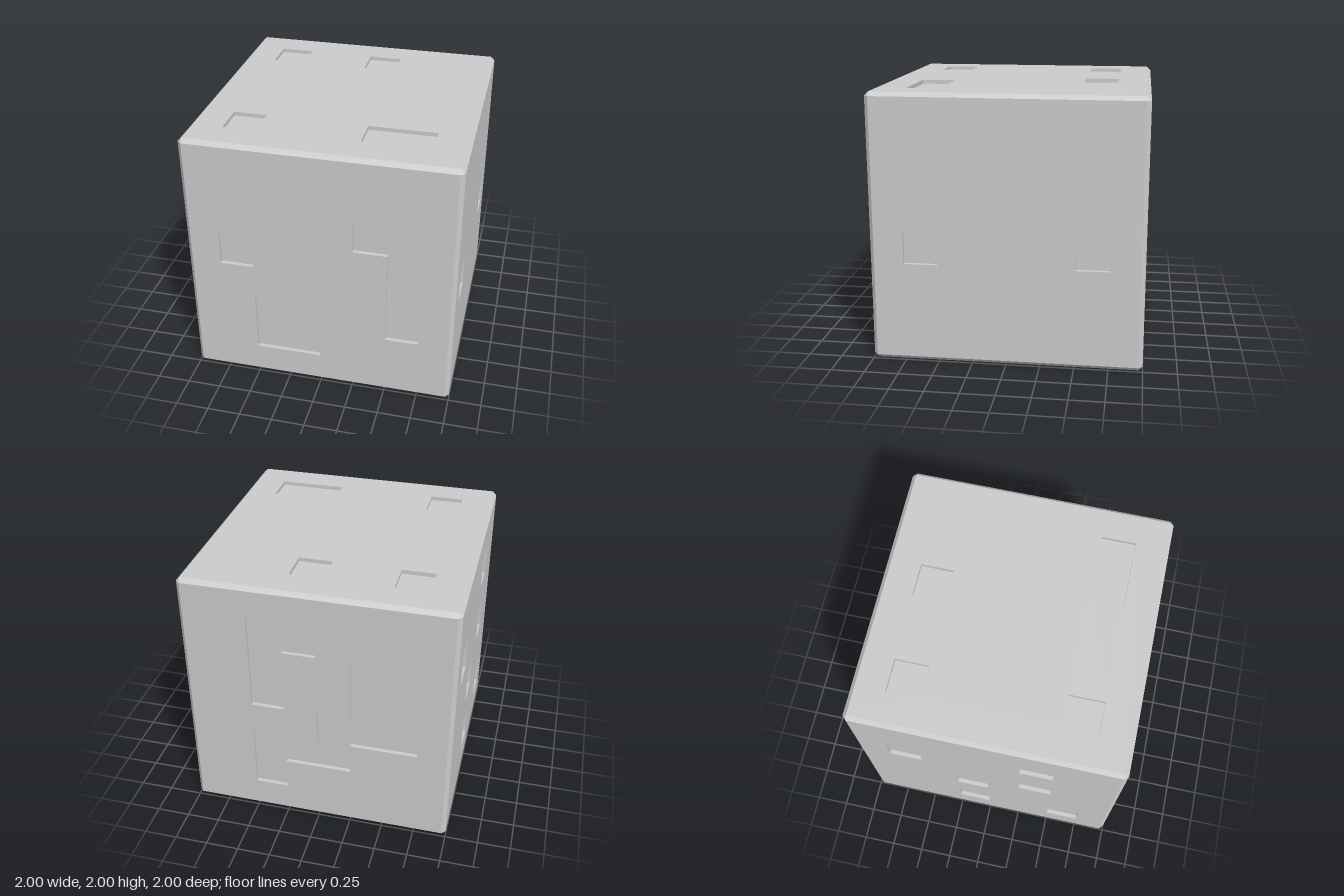
import * as THREE from 'three';
import { mergeGeometries } from 'three/addons/utils/BufferGeometryUtils.js';

const BEVEL = 0.03, DEPTH = 0.03, CELL = 0.25, INNER = 1 - BEVEL;

const material = new THREE.MeshStandardMaterial({ color: 0xcccccc, side: THREE.DoubleSide, flatShading: true });

// Outlines are counter-clockwise, in grid cells from the centre of a face
const rect = (x0, y0, x1, y1) => [[x0, y0], [x1, y0], [x1, y1], [x0, y1]];
const toPoints = (outline) => outline.map(([x, y]) => new THREE.Vector2(x * CELL, y * CELL));

function facets(positions) {
  const g = new THREE.BufferGeometry();
  g.setAttribute('position', new THREE.Float32BufferAttribute(positions, 3));
  g.computeVertexNormals();
  return g;
}

// Side walls and floor of one sunken pocket
function pocketGeometry(points) {
  const walls = [];
  points.forEach((a, i) => {
    const b = points[(i + 1) % points.length];
    walls.push(a.x, a.y, 0, b.x, b.y, 0, b.x, b.y, -DEPTH);
    walls.push(a.x, a.y, 0, b.x, b.y, -DEPTH, a.x, a.y, -DEPTH);
  });
  const floor = new THREE.ShapeGeometry(new THREE.Shape(points)).toNonIndexed();
  floor.deleteAttribute('uv');
  floor.translate(0, 0, -DEPTH);
  return mergeGeometries([facets(walls), floor]);
}

// Flat square panel with its pockets, facing +z
function makeFace(name, outlines) {
  const face = new THREE.Group();
  face.name = name;
  const shape = new THREE.Shape(toPoints(rect(-1, -1, 1, 1)).map((p) => p.multiplyScalar(INNER / CELL)));
  outlines.forEach((o) => shape.holes.push(new THREE.Path(toPoints(o))));
  const panel = new THREE.Mesh(new THREE.ShapeGeometry(shape), material);
  panel.name = 'panel';
  face.add(panel);
  outlines.forEach((o) => {
    const pocket = new THREE.Mesh(pocketGeometry(toPoints(o)), material);
    pocket.name = 'pocket';
    pocket.position.z = 1;
    face.add(pocket);
  });
  panel.position.z = 1;
  return face;
}

// Chamfered edges and corners, one quarter turn at a time
function makeBevels() {
  const parts = [], i = INNER, mid = 1 - BEVEL / 2, w = BEVEL * Math.SQRT2;
  for (let k = 0; k < 4; k++) {
    const quarter = [
      new THREE.PlaneGeometry(2 * i, w).rotateX(-Math.PI / 4).translate(0, mid, mid),
      new THREE.PlaneGeometry(2 * i, w).rotateX(Math.PI / 4).translate(0, -mid, mid),
      new THREE.PlaneGeometry(w, 2 * i).rotateY(Math.PI / 4).translate(mid, 0, mid),
    ].map((g) => {
      const flat = g.toNonIndexed();
      flat.deleteAttribute('uv');
      return flat;
    });
    quarter.push(facets([1, i, i, i, 1, i, i, i, 1]));
    quarter.push(facets([1, -i, i, i, -i, 1, i, -1, i]));
    quarter.forEach((g) => parts.push(g.rotateY(k * Math.PI / 2)));
  }
  const bevels = new THREE.Mesh(mergeGeometries(parts), material);
  bevels.name = 'bevelledEdges';
  return bevels;
}

export function createModel() {
  const model = new THREE.Group();
  model.name = 'pocketedCube';
  const body = new THREE.Group();
  body.name = 'shell';
  body.position.y = 1;
  model.add(body);

  const front = makeFace('frontFace', [
    rect(-3, 0, -2, 1),
    rect(-2, -3, 0, -1),
    [[1, 1], [2, 1], [2, -2], [3, -2], [3, 2], [1, 2]],
  ]);

  const left = makeFace('leftFace', [rect(-3, -1, -2, 0), rect(2, -1, 3, 0)]);
  left.rotation.y = Math.PI / 2;

  const back = makeFace('backFace', [
    [[-2, 0], [-1, 0], [-1, 2], [0, 2], [0, 3], [-2, 3]],
    [[-2, -3], [-1, -3], [-1, -2], [1, -2], [1, -1], [3, -1], [3, 0],
      [2, 0], [2, 2], [1, 2], [1, 0], [0, 0], [0, -1], [-2, -1]],
  ]);
  back.rotation.y = Math.PI;

  const right = makeFace('rightFace', [
    rect(1, 2, 2, 3), rect(1, 0, 2, 1), rect(-3, 1, -2, 2),
    rect(-1, -1, 0, 0), rect(-1, -3, 0, -2), rect(2, -3, 3, -2),
  ]);
  right.rotation.y = -Math.PI / 2;

  const top = makeFace('topFace', [
    rect(-3, 2, -2, 3), rect(0, 2, 1, 3), rect(-3, -3, -2, -2), rect(1, -3, 3, -2),
  ]);
  top.rotation.x = -Math.PI / 2;

  // The underside stays open inside its bevelled rim
  body.add(front, left, back, right, top, makeBevels());
  return model;
}
